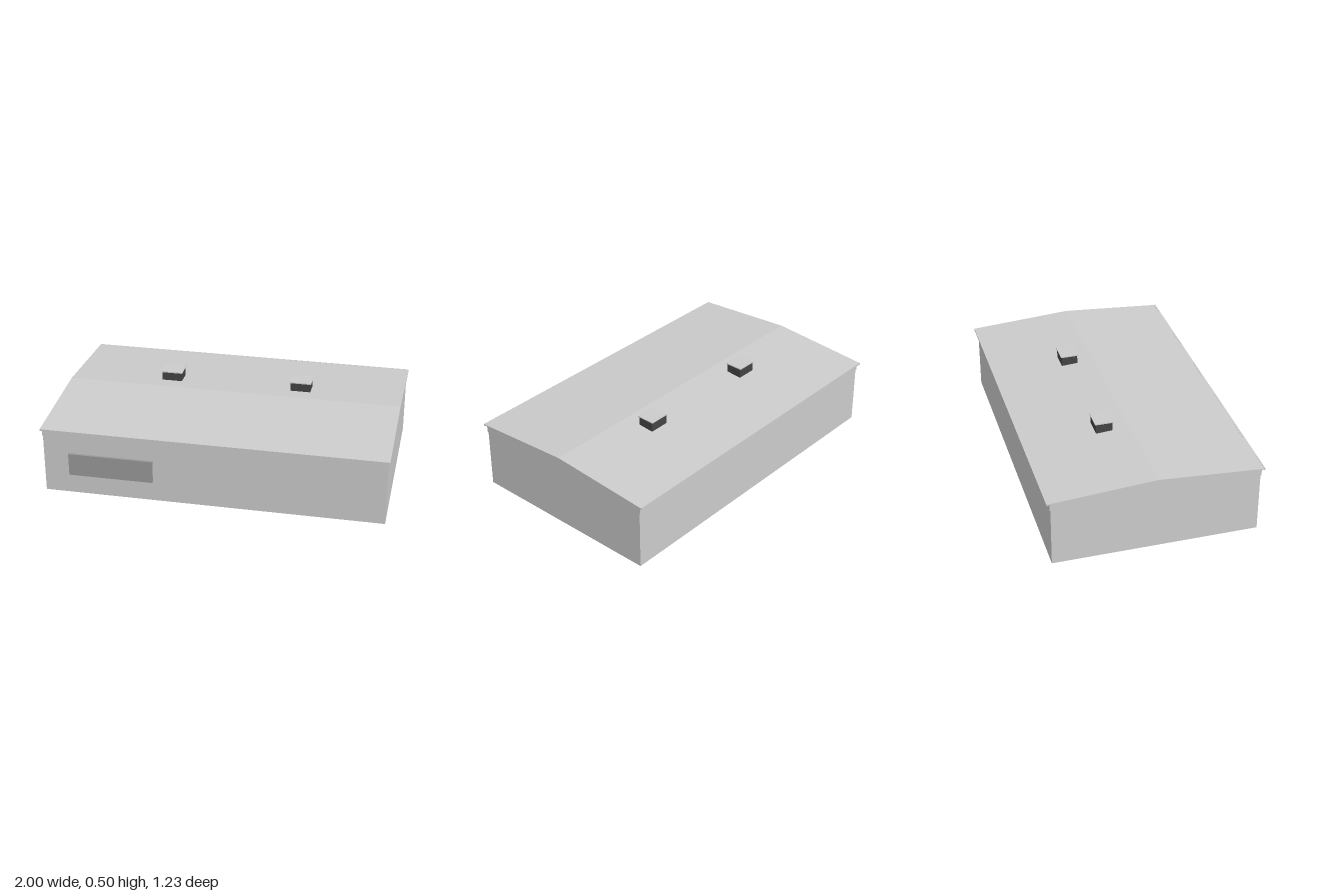
import * as THREE from 'three';

const grey = new THREE.MeshStandardMaterial({ color: 0xcccccc, side: THREE.DoubleSide });
const dark = new THREE.MeshStandardMaterial({ color: 0x444444, side: THREE.DoubleSide });
const panelGrey = new THREE.MeshStandardMaterial({ color: 0x999999 });

function add(parent, name, geometry, material, x = 0, y = 0, z = 0) {
  const mesh = new THREE.Mesh(geometry, material);
  mesh.name = name;
  mesh.position.set(x, y, z);
  parent.add(mesh);
  return mesh;
}

const box = (w, h, d) => new THREE.BoxGeometry(w, h, d);

// Four thin upright sheets around a rectangle, open above and below
function ring(name, halfX, halfZ, bottom, top) {
  const group = new THREE.Group();
  group.name = name;
  const h = top - bottom, y = (top + bottom) / 2;
  for (const s of [1, -1]) {
    add(group, name + 'Long', new THREE.PlaneGeometry(2 * halfX, h), grey, 0, y, s * halfZ)
      .rotation.y = s > 0 ? 0 : Math.PI;
    add(group, name + 'End', new THREE.PlaneGeometry(2 * halfZ, h), grey, s * halfX, y, 0)
      .rotation.y = s * Math.PI / 2;
  }
  return group;
}

// Roof vent: dark housing under an overhanging cap
function vent(x) {
  const group = new THREE.Group();
  group.name = 'roofVent';
  add(group, 'ventHousing', box(0.12, 0.07, 0.097), dark, 0, 0.455, 0);
  add(group, 'ventCap', box(0.13, 0.006, 0.11), grey, 0, 0.493, 0);
  group.position.set(x, 0, -0.147);
  return group;
}

export function createModel() {
  const model = new THREE.Group();

  // Walls, with a shallow band under the eaves
  model.add(ring('wall', 0.99, 0.592, 0, 0.4));
  model.add(ring('eavesBand', 0.992, 0.597, 0.355, 0.404));

  // Low gabled roof
  const gable = new THREE.Shape([
    new THREE.Vector2(-0.612, 0.398), new THREE.Vector2(0.612, 0.398),
    new THREE.Vector2(0.612, 0.403), new THREE.Vector2(0, 0.445),
    new THREE.Vector2(-0.612, 0.403),
  ]);
  const roof = new THREE.ExtrudeGeometry(gable, { depth: 2, bevelEnabled: false });
  roof.translate(0, 0, -1).rotateY(Math.PI / 2);
  add(model, 'roof', roof, grey);

  // Flat ceiling closing the inside
  add(model, 'ceiling', new THREE.PlaneGeometry(1.98, 1.184), dark, 0, 0.396, 0)
    .rotation.x = Math.PI / 2;

  // Edge strips along both eaves
  for (const s of [1, -1]) {
    add(model, 'eavesStrip', box(2, 0.01, 0.008), grey, 0, 0.399, s * 0.611);
  }

  // Panel set through the front wall
  add(model, 'frontPanel', box(0.495, 0.135, 0.03), panelGrey, -0.593, 0.188, 0.592);

  for (const x of [-0.395, 0.393]) model.add(vent(x));
  return model;
}
